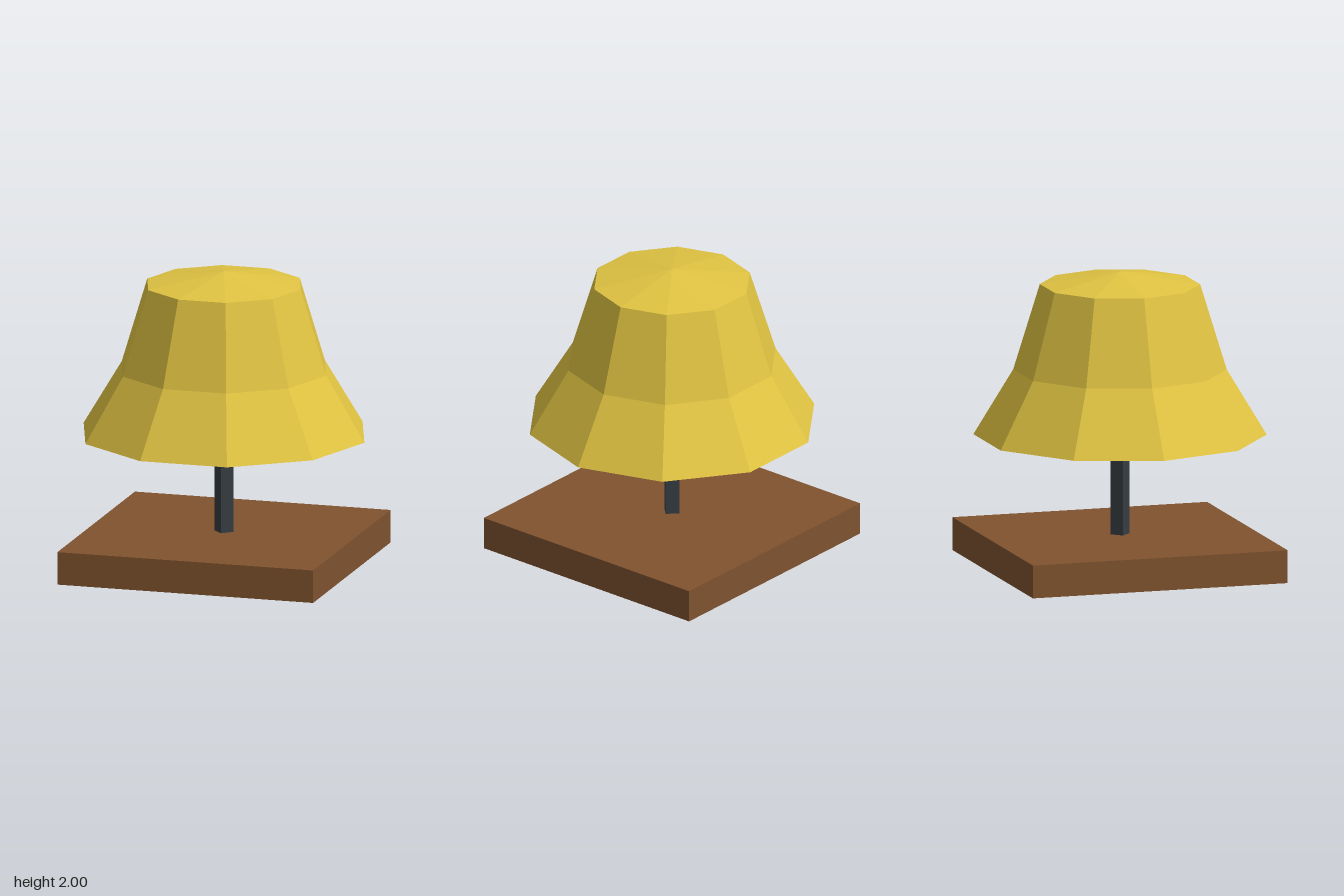
import * as THREE from 'three';

export function createModel() {
  const make = (name, color) => {
    const m = new THREE.MeshStandardMaterial({ color, flatShading: true });
    m.name = name;
    return m;
  };
  const wood = make('brown wood', 0x80532f);
  const metal = make('dark metal', 0x363c41);
  const fabric = make('yellow fabric', 0xe0c342);

  const group = new THREE.Group();
  group.name = 'tableLamp';
  const add = (name, geometry, material, y = 0) => {
    const mesh = new THREE.Mesh(geometry, material);
    mesh.name = name;
    mesh.position.y = y;
    group.add(mesh);
  };

  // Square slab base
  add('base', new THREE.BoxGeometry(1.776, 0.222, 1.776), wood, 0.111);

  // Four-sided stem with its corners on the axes
  add('stem', new THREE.CylinderGeometry(0.067, 0.067, 0.69, 4), metal, 0.222 + 0.345);

  // Ten-sided flared shade, closed below and with a shallow pointed cap
  const profile = [[0, 0.895], [0.975, 0.895], [0.71, 1.335], [0.533, 1.912], [0, 2]]
    .map(([r, y]) => new THREE.Vector2(r, y));
  add('shade', new THREE.LatheGeometry(profile, 10, Math.PI / 2), fabric);

  return group;
}
